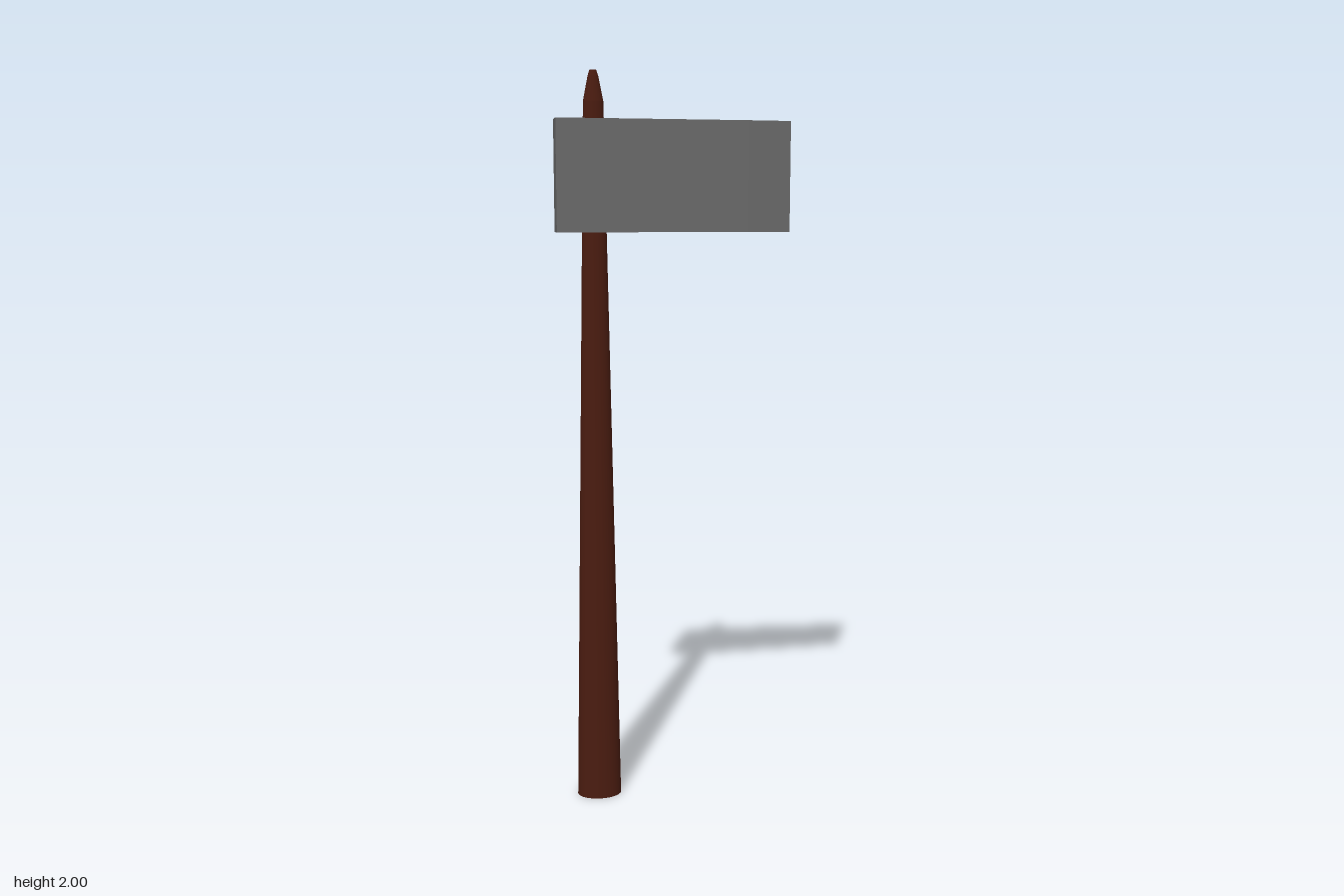
import * as THREE from 'three';

export function createModel() {
  const model = new THREE.Group();
  model.name = 'axe';
  const wood = new THREE.MeshStandardMaterial({ color: 0x4a1c10 });
  const steel = new THREE.MeshStandardMaterial({ color: 0x6a6a6a });

  const add = (name, geometry, material) => {
    const mesh = new THREE.Mesh(geometry, material);
    mesh.name = name;
    model.add(mesh);
    return mesh;
  };

  // Oval tapered shaft with a pointed tip
  const handle = new THREE.Group();
  handle.name = 'handle';
  handle.position.x = -0.217;
  handle.scale.z = 0.75;
  model.add(handle);
  const sections = [
    ['shaft', 0, 0.0615, 1.92, 0.027, false],
    ['tip', 1.92, 0.027, 1.985, 0.014, true],
    ['tipEnd', 1.985, 0.014, 2, 0.009, false],
  ];
  for (const [name, y0, r0, y1, r1, open] of sections) {
    const geometry = new THREE.CylinderGeometry(r1, r0, y1 - y0, 32, 1, open);
    geometry.translate(0, (y0 + y1) / 2, 0);
    handle.add(add(name, geometry, wood));
  }

  // Wedge-shaped head: slow taper, then a steeper bevel to the cutting edge
  const outline = [
    [-0.32, -0.037], [0.2, -0.013], [0.318, 0], [0.2, 0.013], [-0.32, 0.037],
  ].map(([x, z]) => new THREE.Vector2(x, z));
  const head = new THREE.ExtrudeGeometry(new THREE.Shape(outline), { depth: 0.295, bevelEnabled: false });
  head.rotateX(-Math.PI / 2).translate(0, 1.58, 0);
  add('axeHead', head, steel);

  return model;
}
